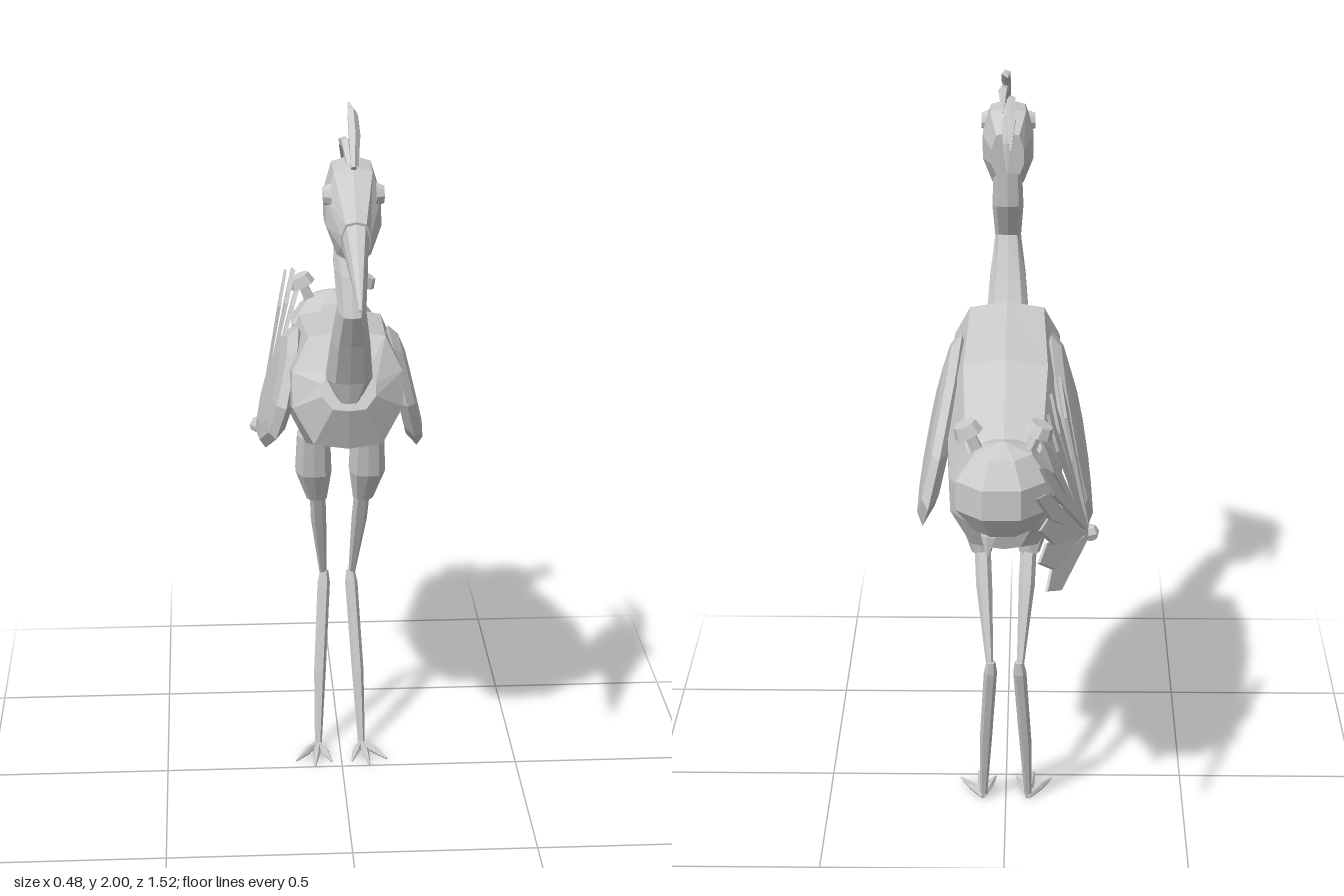
import * as THREE from 'three';

const V = (x, y, z) => new THREE.Vector3(x, y, z);

export function createModel() {
  const root = new THREE.Group();
  const mat = new THREE.MeshStandardMaterial({ color: 0xcccccc, flatShading: true });

  const add = (name, geometry, parent = root) => {
    const mesh = new THREE.Mesh(geometry, mat);
    mesh.name = name;
    parent.add(mesh);
    return mesh;
  };

  // Skin closed rings of points and cap both ends
  function skin(rings) {
    const pos = [];
    const tri = (...p) => p.forEach(v => pos.push(v.x, v.y, v.z));
    const n = rings[0].length;
    const centre = r => r.reduce((s, p) => s.add(p), V(0, 0, 0)).divideScalar(n);
    const first = rings[0], last = rings[rings.length - 1];
    const c0 = centre(first), c1 = centre(last);
    for (let i = 0; i < n; i++) {
      const j = (i + 1) % n;
      for (let k = 0; k < rings.length - 1; k++) {
        const a = rings[k], b = rings[k + 1];
        tri(a[i], a[j], b[i]);
        tri(a[j], b[j], b[i]);
      }
      tri(c0, first[j], first[i]);
      tri(c1, last[i], last[j]);
    }
    const g = new THREE.BufferGeometry();
    g.setAttribute('position', new THREE.Float32BufferAttribute(pos, 3));
    g.computeVertexNormals();
    return g;
  }

  // Sections: [upper z, upper y, lower z, lower y, half width, centre x]
  const half = [[0, 0], [0.7, 0.06], [1, 0.35], [1, 0.65], [0.62, 0.96], [0, 1]];
  const profile = [...half, ...half.slice(1, -1).reverse().map(([w, t]) => [-w, t])];
  const loft = sections => skin(sections.map(([zt, yt, zb, yb, w, cx = 0]) =>
    profile.map(([u, t]) => V(cx + u * w, yt + (yb - yt) * t, zt + (zb - zt) * t))));

  // Faceted strand through points with a radius at each
  function strand(points, radii, sides = 6) {
    const p = points.map(a => V(...a));
    return skin(p.map((c, i) => {
      const d = p[Math.min(i + 1, p.length - 1)].clone().sub(p[Math.max(i - 1, 0)]).normalize();
      const u = V(1, 0, 0).addScaledVector(d, -d.x).normalize();
      const v = d.clone().cross(u);
      return Array.from({ length: sides }, (_, k) => {
        const a = k / sides * Math.PI * 2;
        return c.clone().addScaledVector(u, Math.cos(a) * radii[i]).addScaledVector(v, Math.sin(a) * radii[i]);
      });
    }));
  }

  // Body, neck, head and beak
  add('body', loft([
    [0.28, 1.3, 0.33, 1.2, 0.07], [0.2, 1.38, 0.285, 1.08, 0.145],
    [-0.14, 1.34, -0.02, 0.97, 0.16], [-0.43, 1.23, -0.37, 0.9, 0.14],
    [-0.5, 1.12, -0.44, 0.93, 0.07]]));
  add('neck', loft([
    [0.285, 1.72, 0.4, 1.65, 0.04], [0.3, 1.62, 0.43, 1.59, 0.043],
    [0.36, 1.52, 0.46, 1.49, 0.036], [0.31, 1.4, 0.41, 1.4, 0.05],
    [0.26, 1.3, 0.35, 1.28, 0.06], [0.27, 1.24, 0.33, 1.22, 0.03]]));
  add('head', loft([
    [0.59, 1.775, 0.565, 1.67, 0.036], [0.46, 1.88, 0.5, 1.66, 0.068],
    [0.36, 1.885, 0.41, 1.65, 0.07], [0.3, 1.83, 0.315, 1.69, 0.045]]));
  add('beak', loft([
    [0.763, 1.608, 0.762, 1.6, 0.004], [0.585, 1.772, 0.565, 1.672, 0.033]]));

  // Crest feathers
  [
    [[0, 1.88, 0.48], [0.004, 1.945, 0.41], [0.004, 1.985, 0.33], [0, 1.995, 0.255]],
    [[0.006, 1.87, 0.45], [0.01, 1.935, 0.36], [0.012, 1.96, 0.25], [0.01, 1.93, 0.14]],
    [[-0.006, 1.87, 0.43], [-0.01, 1.91, 0.34], [-0.012, 1.89, 0.23], [-0.01, 1.82, 0.15]],
    [[0, 1.87, 0.37], [0, 1.86, 0.3], [0, 1.81, 0.26], [0, 1.735, 0.24]],
  ].forEach(path => add('crestFeather', strand(path, [0.008, 0.014, 0.013, 0.002], 5)));

  // Paired parts, built on the left and mirrored
  const wingOutline = [[0.15, 1.31], [0.05, 1.34], [-0.15, 1.28], [-0.33, 1.13], [-0.36, 1],
    [-0.28, 0.92], [-0.06, 0.96], [0.15, 1.06], [0.22, 1.17]];
  const wingRing = (scale, out) => wingOutline.map(([z, y]) => {
    const zz = -0.07 + (z + 0.07) * scale, yy = 1.13 + (y - 1.13) * scale;
    return V(0.122 + (1.33 - yy) * 0.235 + out, yy, zz);
  });
  for (const side of [1, -1]) {
    const g = new THREE.Group();
    g.name = side > 0 ? 'leftParts' : 'rightParts';
    g.scale.x = side;
    root.add(g);

    add('wing', skin([wingRing(0.6, 0.03), wingRing(0.86, 0.022), wingRing(1, 0), wingRing(0.8, -0.022)]), g);

    const eye = add('eye', new THREE.CylinderGeometry(0.022, 0.03, 0.02, 8), g);
    eye.rotation.z = -Math.PI / 2;
    eye.position.set(0.065, 1.815, 0.48);

    // Leg
    add('thigh', loft([
      [-0.15, 0.99, -0.03, 0.99, 0.045, 0.075], [-0.172, 0.88, -0.055, 0.87, 0.05, 0.075],
      [-0.157, 0.782, -0.105, 0.782, 0.028, 0.065]]), g);
    add('upperLeg', strand([[0.063, 0.8, -0.13], [0.058, 0.7, -0.175], [0.042, 0.5, -0.257]], [0.022, 0.022, 0.01]), g);
    add('lowerLeg', strand([[0.038, 0.505, -0.257], [0.04, 0.47, -0.25], [0.055, 0.22, -0.18], [0.063, 0.01, -0.125]],
      [0.012, 0.018, 0.017, 0.01]), g);
    [[0.03, -0.02], [0.078, 0.005], [0.13, -0.03]].forEach(([x, z]) => {
      const toe = add('toe', strand([[0.063, 0.01, -0.135], [(0.063 + x) / 2, 0.011, (z - 0.135) / 2], [x, 0.007, z]],
        [0.008, 0.011, 0.003], 6), g);
      toe.geometry.computeBoundingBox();
    });

    // Capped stalk on the rear knob
    const stalk = new THREE.Group();
    stalk.name = 'knobStalk';
    stalk.position.set(0.055, 1.22, -0.525);
    stalk.rotation.z = -0.42;
    g.add(stalk);
    add('stem', new THREE.CylinderGeometry(0.014, 0.018, 0.1, 6), stalk).position.y = 0.045;
    add('cap', new THREE.CylinderGeometry(0.03, 0.038, 0.03, 8), stalk).position.y = 0.09;
  }

  // Rear knob with a small spike underneath
  const knob = add('rearKnob', new THREE.SphereGeometry(0.135, 8, 5), root);
  knob.scale.set(1, 0.95, 0.93);
  knob.position.set(0, 1.145, -0.535);
  knob.rotation.y = Math.PI / 8;
  add('knobSpike', strand([[0.03, 1.06, -0.56], [0.035, 1.03, -0.585], [0.04, 0.985, -0.6]], [0.028, 0.02, 0.002], 5));

  // Tail fan of pointed feathers on the right side
  const fan = new THREE.Group();
  fan.name = 'tailFan';
  const back = V(0.25, 0, -1).normalize();
  const normal = back.clone().cross(V(0.16, 1, 0)).normalize();
  const up = normal.clone().cross(back);
  fan.quaternion.setFromRotationMatrix(new THREE.Matrix4().makeBasis(back, up, normal));
  fan.position.set(-0.225, 0.93, -0.335);
  root.add(fan);
  const count = 9;
  for (let i = 0; i < count; i++) {
    const L = i === 0 ? 0.44 : 0.46;
    const kite = new THREE.Shape([[0, -0.004], [L * 0.78, -0.034], [L, 0], [L * 0.78, 0.034], [0, 0.004]]
      .map(([x, y]) => new THREE.Vector2(x, y)));
    const feather = add('tailFeather', new THREE.ExtrudeGeometry(kite, { depth: 0.008, bevelEnabled: false }), fan);
    feather.rotation.set(0.2, 0, THREE.MathUtils.degToRad(5 + i * 9.8), 'ZXY');
    feather.position.z = (i % 2) * 0.006;
  }
  add('fanRoot', new THREE.SphereGeometry(0.024, 6, 4), fan);

  return root;
}
